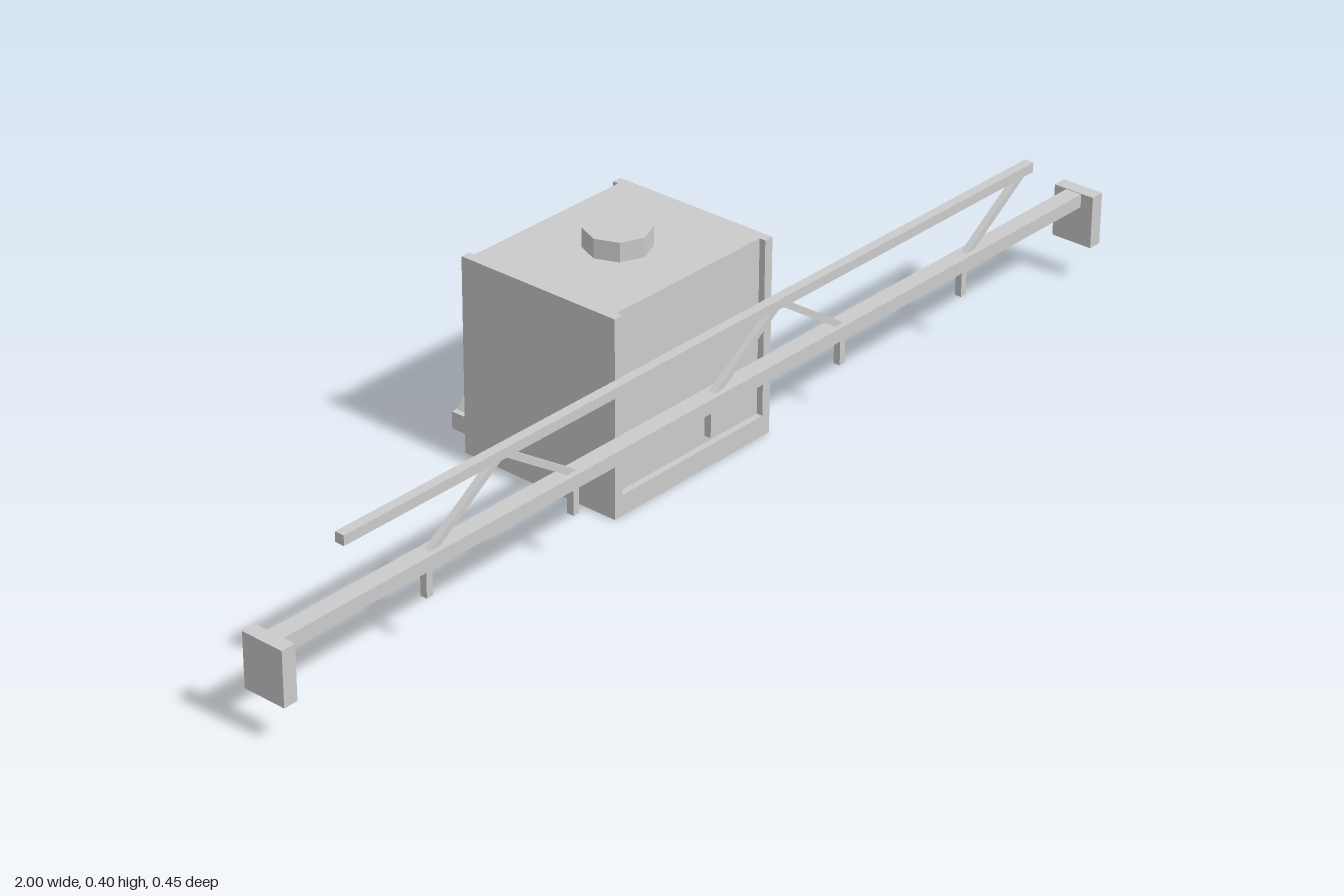
import * as THREE from 'three';

const material = new THREE.MeshStandardMaterial({ color: 0xcccccc, flatShading: true });

// Box given by its extents on each axis
function block(name, [x0, x1], [y0, y1], [z0, z1]) {
  const mesh = new THREE.Mesh(new THREE.BoxGeometry(x1 - x0, y1 - y0, z1 - z0), material);
  mesh.name = name;
  mesh.position.set((x0 + x1) / 2, (y0 + y1) / 2, (z0 + z1) / 2);
  return mesh;
}

// Square bar between two points in a plane of constant z
function strut(name, [xa, ya], [xb, yb], z, width, depth = width) {
  const dx = xb - xa, dy = yb - ya;
  const mesh = new THREE.Mesh(new THREE.BoxGeometry(Math.hypot(dx, dy), width, depth), material);
  mesh.name = name;
  mesh.position.set((xa + xb) / 2, (ya + yb) / 2, z);
  mesh.rotation.z = Math.atan2(dy, dx);
  return mesh;
}

function createTank() {
  const tank = new THREE.Group();
  tank.name = 'tank';
  const L = -0.195, R = 0.187, H = 0.36;
  tank.add(block('tankBody', [L, R], [0, H], [-0.164, 0.14]));

  // Corner posts and bottom rail raised around the front and back panels
  for (const [side, z] of [['front', [0.14, 0.152]], ['back', [-0.175, -0.164]]]) {
    tank.add(block(side + 'PostRight', [L, L + 0.018], [0, H], z));
    tank.add(block(side + 'PostLeft', [R - 0.018, R], [0, H], z));
    tank.add(block(side + 'Rail', [L + 0.018, R - 0.018], [0, 0.038], z));
  }

  // Octagonal filler lid
  const lid = new THREE.Mesh(new THREE.CylinderGeometry(0.058, 0.058, 0.035, 8), material);
  lid.name = 'lid';
  lid.position.set(-0.003, H + 0.0175, -0.012);
  tank.add(lid);
  return tank;
}

function createBoom() {
  const boom = new THREE.Group();
  boom.name = 'boom';
  const z = 0.186;
  boom.add(block('mainBeam', [-0.975, 0.975], [0.139, 0.164], [z - 0.016, z + 0.016]));
  boom.add(block('upperRail', [-0.837, 0.835], [0.255, 0.273], [z - 0.009, z + 0.009]));
  for (const s of [-1, 1]) {
    const x = s < 0 ? [-1, -0.973] : [0.973, 1];
    boom.add(block('endPlate', x, [0.067, 0.165], [z - 0.041, z + 0.041]));
  }

  // Diagonal braces in the truss
  const low = 0.155, high = 0.264;
  for (const [xa, xb] of [[-0.658, -0.492], [-0.326, -0.492], [-0.003, 0.164], [0.328, 0.164], [0.655, 0.82]])
    boom.add(strut('brace', [xa, low], [xb, high], z, 0.012));

  // Spray nozzles hanging below the beam
  for (let i = -2; i <= 2; i++) {
    const x = -0.003 + i * 0.328;
    boom.add(block('nozzle', [x - 0.0065, x + 0.0065], [0.086, 0.142], [z - 0.0065, z + 0.0065]));
  }
  return boom;
}

function createHitch() {
  const hitch = new THREE.Group();
  hitch.name = 'hitch';
  const c = -0.003, z = [-0.225, -0.193];
  hitch.add(block('crossBar', [c - 0.155, c + 0.155], [0.018, 0.05], [-0.195, -0.164]));
  hitch.add(block('topBlock', [c - 0.026, c + 0.026], [0.247, 0.283], z));
  // Lower blocks and the legs of the A-frame
  for (const s of [-1, 1]) {
    const x = c + s * 0.154;
    hitch.add(block('lowerBlock', [x - 0.016, x + 0.016], [0.018, 0.05], z));
    hitch.add(strut('hitchLeg', [x, 0.036], [c, 0.262], -0.209, 0.025));
  }
  return hitch;
}

export function createModel() {
  const model = new THREE.Group();
  model.name = 'boomSprayer';
  model.add(createTank(), createBoom(), createHitch());
  return model;
}
